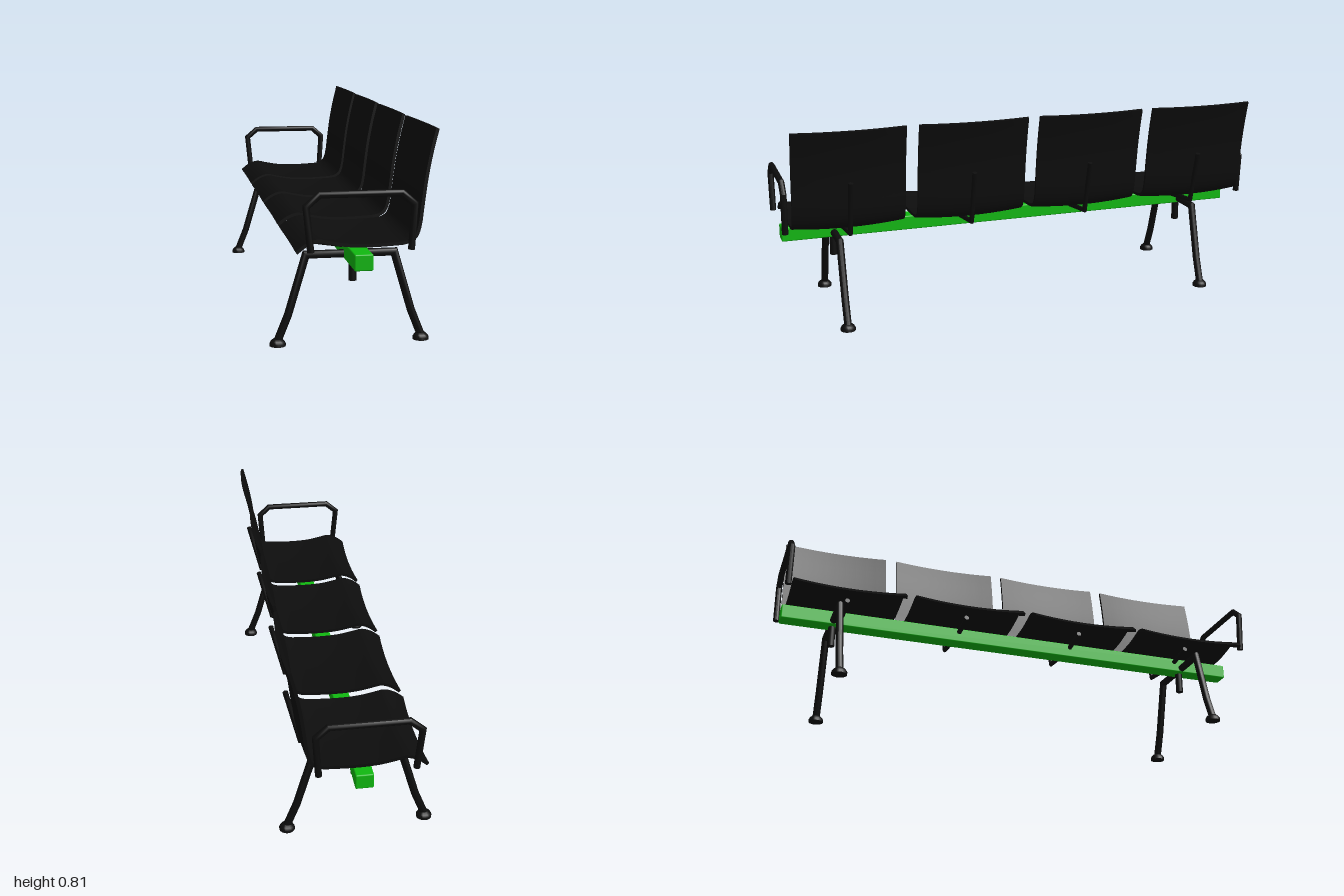
import * as THREE from 'three';
import { toCreasedNormals } from 'three/addons/utils/BufferGeometryUtils.js';
import { RoundedBoxGeometry } from 'three/addons/geometries/RoundedBoxGeometry.js';

const black = new THREE.MeshStandardMaterial({ name: 'black', color: 0x0d0d0d });
const green = new THREE.MeshStandardMaterial({ name: 'green', color: 0x10b810 });

// Sweeps a section of [normal, z] points along an [x, y] path with mitred corners
function sweep(path, section, crease = 0.7) {
  const pts = path.map(([x, y]) => new THREE.Vector2(x, y));
  const n = section.length, pos = [], idx = [];
  pts.forEach((p, i) => {
    const a = pts[Math.max(i - 1, 0)], b = pts[Math.min(i + 1, pts.length - 1)];
    const t1 = (i ? p.clone().sub(a) : b.clone().sub(p)).normalize();
    const t2 = (i < pts.length - 1 ? b.clone().sub(p) : t1.clone()).normalize();
    const t = t1.clone().add(t2).normalize();
    const k = 1 / t.dot(t1);
    for (const [s, z] of section) pos.push(p.x - t.y * s * k, p.y + t.x * s * k, z);
  });
  for (let i = 0; i < pts.length - 1; i++) {
    for (let j = 0; j < n; j++) {
      const a = i * n + j, b = i * n + (j + 1) % n;
      idx.push(a, b, a + n, b, b + n, a + n);
    }
  }
  const last = (pts.length - 1) * n;
  const outline = section.map(([s, z]) => new THREE.Vector2(s, z));
  for (const [a, b, c] of THREE.ShapeUtils.triangulateShape(outline, [])) {
    idx.push(a, c, b, last + a, last + b, last + c);
  }
  const g = new THREE.BufferGeometry();
  g.setAttribute('position', new THREE.Float32BufferAttribute(pos, 3));
  g.setIndex(idx);
  return toCreasedNormals(g, crease);
}

const oval = (rn, rz, sides = 12) => Array.from({ length: sides }, (_, i) => {
  const a = i / sides * Math.PI * 2;
  return [Math.cos(a) * rn, Math.sin(a) * rz];
});

// Slab that is dished across its width
function dishedSection(halfWidth, thickness, dip, steps = 10) {
  const top = [], bottom = [];
  for (let i = 0; i <= steps; i++) {
    const u = i / steps * 2 - 1, n = -dip * (1 - u * u);
    top.push([n + thickness / 2, u * halfWidth]);
    bottom.unshift([n - thickness / 2, u * halfWidth]);
  }
  return [...top, ...bottom];
}

export function createModel() {
  const model = new THREE.Group();
  model.name = 'beamBench';
  const add = (name, geometry, material, x = 0, y = 0, z = 0, parent = model) => {
    const m = new THREE.Mesh(geometry, material);
    m.name = name;
    m.position.set(x, y, z);
    parent.add(m);
    return m;
  };

  // Beam carrying the seats
  add('beam', new RoundedBoxGeometry(0.067, 0.059, 1.975, 2, 0.005), green, 0.0085, 0.3465, -0.002);

  // One-piece seat and back shells with their support brackets
  const curve = new THREE.CatmullRomCurve3([
    [-0.224, 0.384], [-0.19, 0.41], [-0.15, 0.424], [-0.11, 0.417], [-0.05, 0.406],
    [0.02, 0.402], [0.1, 0.404], [0.17, 0.411], [0.195, 0.428], [0.208, 0.46],
    [0.22, 0.55], [0.232, 0.64], [0.249, 0.73], [0.267, 0.804],
  ].map(([x, y]) => new THREE.Vector3(x, y, 0)), false, 'centripetal');
  const profile = curve.getPoints(39).map(p => [p.x, p.y]);
  const shell = sweep(profile, dishedSection(0.223, 0.012, 0.012));
  const bracket = sweep([[-0.135, 0.377], [0.01, 0.355], [0.207, 0.378], [0.26, 0.594]], oval(0.01, 0.01, 10));
  [-0.745, -0.251, 0.244, 0.74].forEach((z, i) => {
    const seat = new THREE.Group();
    seat.name = 'seat' + (i + 1);
    seat.position.z = z;
    model.add(seat);
    add('seatShell', shell, black, 0, 0, 0, seat);
    add('seatBracket', bracket, black, 0, 0, 0, seat);
  });

  // Leg frames: bent tube, centre stub and feet
  const legTube = sweep([
    [-0.268, 0.015], [-0.228, 0.115], [-0.163, 0.335],
    [0.163, 0.335], [0.228, 0.115], [0.268, 0.015],
  ], oval(0.015, 0.015, 16));
  const foot = toCreasedNormals(new THREE.LatheGeometry([
    [0, 0], [0.03, 0], [0.03, 0.009], [0.025, 0.018], [0.017, 0.025], [0, 0.027],
  ].map(([x, y]) => new THREE.Vector2(x, y)), 18), 0.7);
  for (const z of [-0.778, 0.775]) {
    const frame = new THREE.Group();
    frame.name = 'legFrame';
    frame.position.z = z;
    model.add(frame);
    add('legTube', legTube, black, 0, 0, 0, frame);
    add('centreStub', new THREE.CylinderGeometry(0.015, 0.015, 0.1, 16), black, 0.009, 0.284, 0, frame);
    for (const x of [-0.267, 0.267]) add('foot', foot, black, x, 0, 0, frame);
  }

  // Armrest hoops at both ends
  const arm = sweep([
    [-0.178, 0.39], [-0.194, 0.549], [-0.147, 0.589],
    [0.139, 0.589], [0.184, 0.549], [0.174, 0.39],
  ], oval(0.0125, 0.0125, 12));
  for (const z of [-0.9875, 0.9875]) add('armrest', arm, black, 0, 0, z);

  return model;
}
